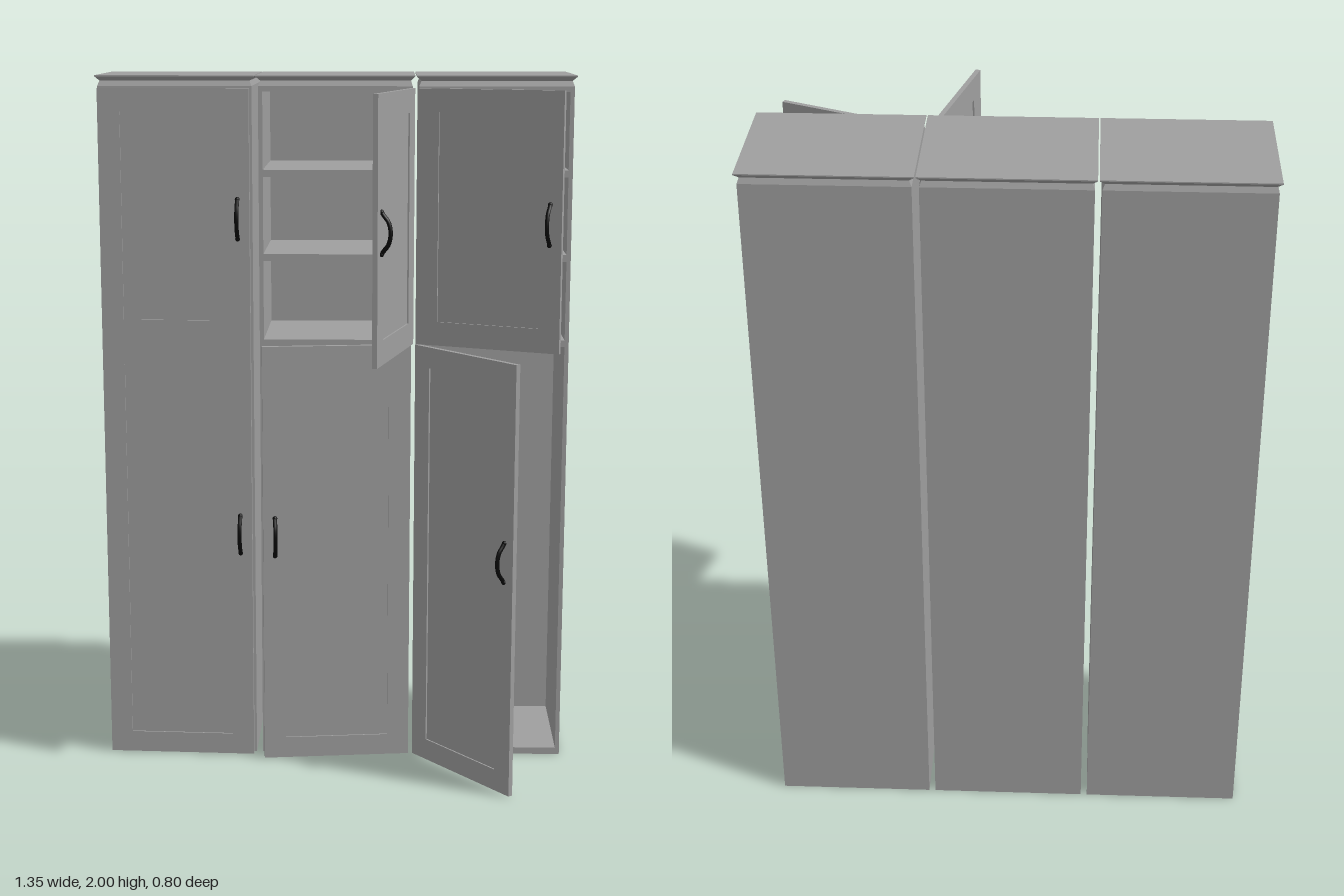
import * as THREE from 'three';

const grey = new THREE.MeshStandardMaterial({ color: 0x9f9f9f });
grey.name = 'cabinet grey';
const black = new THREE.MeshStandardMaterial({ color: 0x0a0a0a });
black.name = 'handle black';

const HALF = 0.217, BACK = -0.396, FRONT = -0.021, MID_Z = (BACK + FRONT) / 2;
const DEPTH = FRONT - BACK, WALL = 0.012, TOP = 1.97;
const DOOR_W = 0.428, DOOR_T = 0.014, RAIL = 0.063;

function add(parent, name, geometry, material, x = 0, y = 0, z = 0) {
  const mesh = new THREE.Mesh(geometry, material);
  mesh.name = name;
  mesh.position.set(x, y, z);
  parent.add(mesh);
  return mesh;
}

// Box whose lower and upper faces grow outwards by separate amounts
function taperedBox(lowGrow, highGrow, height) {
  const g = new THREE.BoxGeometry(2 * HALF, height, DEPTH);
  const p = g.attributes.position;
  for (let i = 0; i < p.count; i++) {
    const grow = p.getY(i) > 0 ? highGrow : lowGrow;
    p.setX(i, p.getX(i) + Math.sign(p.getX(i)) * grow);
    p.setZ(i, p.getZ(i) + Math.sign(p.getZ(i)) * grow);
  }
  const flat = g.toNonIndexed();
  flat.computeVertexNormals();
  return flat;
}

// Open-fronted carcass with shelves and a flared cornice
function cabinet(name, x) {
  const group = new THREE.Group();
  group.name = name;
  group.position.x = x;
  for (const s of [-1, 1])
    add(group, 'sidePanel', new THREE.BoxGeometry(WALL, TOP, DEPTH), grey, s * (HALF - WALL / 2), TOP / 2, MID_Z);
  const inner = 2 * (HALF - WALL);
  add(group, 'backPanel', new THREE.BoxGeometry(inner, TOP, WALL), grey, 0, TOP / 2, BACK + WALL / 2);
  // Floor, divider, two shelves and ceiling
  for (const [low, high] of [[0, 0.02], [1.233, 1.252], [1.478, 1.498], [1.717, 1.737], [1.955, TOP]])
    add(group, 'shelf', new THREE.BoxGeometry(inner, high - low, DEPTH - WALL), grey, 0, (low + high) / 2, MID_Z + WALL / 2);
  add(group, 'corniceNeck', taperedBox(0, -0.006, 0.015), grey, 0, 1.9775, MID_Z);
  add(group, 'corniceFlare', taperedBox(-0.006, 0.007, 0.012), grey, 0, 1.991, MID_Z);
  add(group, 'corniceTop', taperedBox(0.007, 0.007, 0.003), grey, 0, 1.9985, MID_Z);
  return group;
}

// Bowed pull handle with rounded feet
function handle(x, y) {
  const group = new THREE.Group();
  group.name = 'handle';
  group.position.set(x, y, DOOR_T / 2);
  const path = new THREE.CatmullRomCurve3([
    [-0.056, 0.002], [-0.046, 0.009], [-0.03, 0.021], [0, 0.027], [0.03, 0.021], [0.046, 0.009], [0.056, 0.002],
  ].map(([py, pz]) => new THREE.Vector3(0, py, pz)));
  add(group, 'grip', new THREE.TubeGeometry(path, 24, 0.006, 8), black);
  for (const s of [-1, 1])
    add(group, 'foot', new THREE.SphereGeometry(0.007, 10, 8), black, 0, s * 0.056, 0.002);
  return group;
}

// Framed door; side = 1 extends to +x from its hinge, -1 to -x
function door(name, hingeX, side, degrees, low, high, panels, handles) {
  const group = new THREE.Group();
  group.name = name;
  group.position.set(hingeX, 0, -0.016);
  group.rotation.y = -side * THREE.MathUtils.degToRad(degrees);
  const left = side > 0 ? 0 : -DOOR_W;
  const rect = (T, x0, y0, x1, y1) => new T([
    new THREE.Vector2(x0, y0), new THREE.Vector2(x1, y0), new THREE.Vector2(x1, y1), new THREE.Vector2(x0, y1),
  ]);
  const outline = rect(THREE.Shape, left, low, left + DOOR_W, high);
  for (const [y0, y1] of panels) {
    outline.holes.push(rect(THREE.Path, left + RAIL, y0, left + DOOR_W - RAIL, y1));
    add(group, 'recessedPanel', new THREE.BoxGeometry(DOOR_W - 2 * RAIL, y1 - y0, 0.005), grey,
      left + DOOR_W / 2, (y0 + y1) / 2, 0);
  }
  const frame = new THREE.ExtrudeGeometry(outline, { depth: DOOR_T, bevelEnabled: false });
  add(group, 'doorFrame', frame, grey, 0, 0, -DOOR_T / 2);
  for (const y of handles) group.add(handle(side * (DOOR_W - 0.034), y));
  return group;
}

export function createModel() {
  const model = new THREE.Group();
  model.name = 'wardrobe';
  const spacing = 0.452;
  model.add(cabinet('rightCabinet', -spacing), cabinet('middleCabinet', 0), cabinet('leftCabinet', spacing));

  // Doors, each swung open by a different amount
  const lower = [0.065, 1.18], upper = [1.31, 1.9];
  const lowHandle = 0.68, highHandle = 1.6;
  model.add(
    door('tallDoor', -spacing - HALF, 1, 2.5, 0.003, 1.965, [lower, upper], [lowHandle, highHandle]),
    door('middleLowerDoor', HALF, -1, 6.7, 0.003, 1.24, [lower], [lowHandle]),
    door('middleUpperDoor', HALF, -1, 76.4, 1.242, 1.965, [upper], [highHandle]),
    door('leftLowerDoor', spacing - HALF, 1, 51, 0.003, 1.24, [lower], [lowHandle]),
    door('leftUpperDoor', spacing - HALF, 1, 23, 1.242, 1.965, [upper], [highHandle]),
  );
  return model;
}
